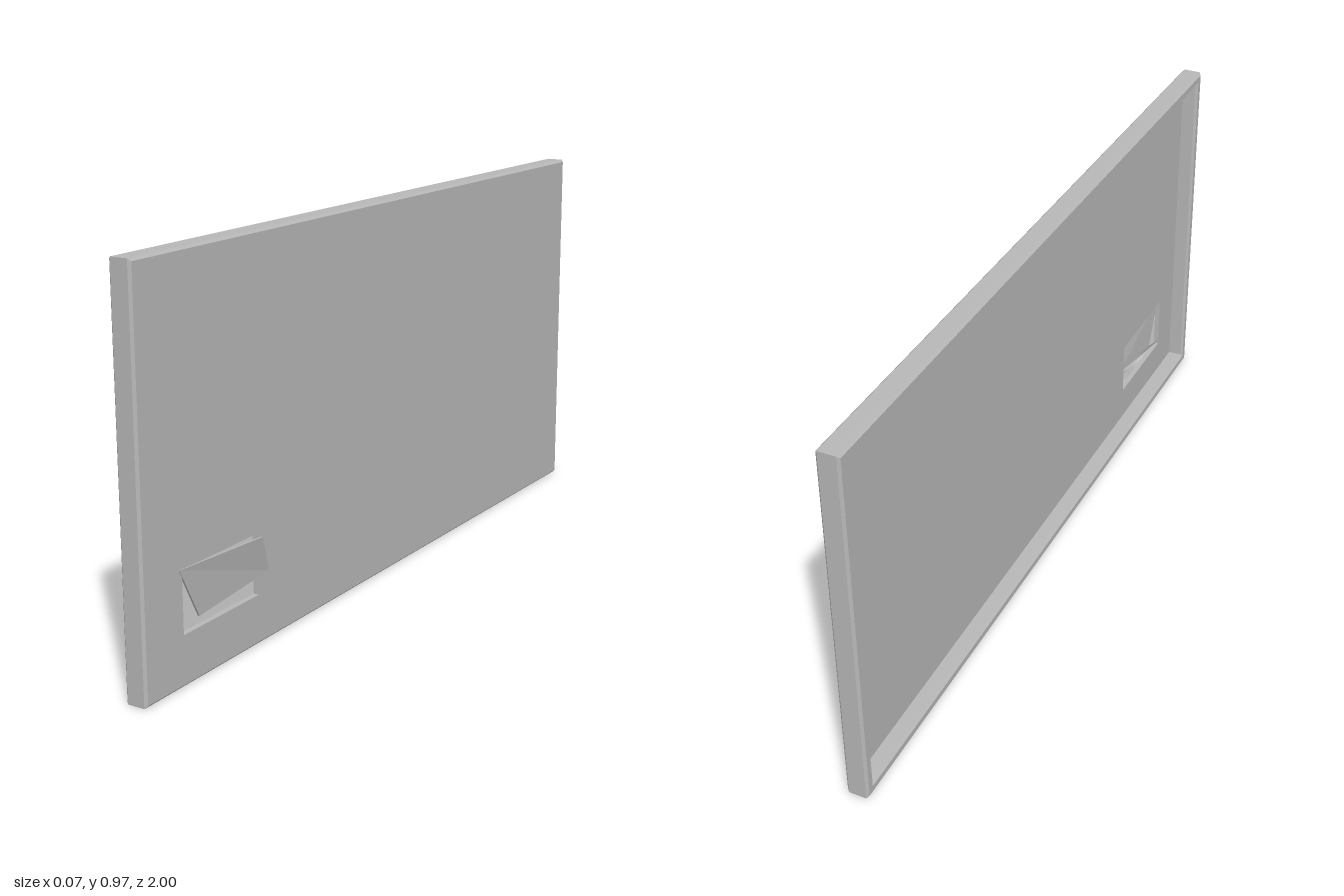
import * as THREE from 'three';

const grey = new THREE.MeshStandardMaterial({ color: 0xb8b8b8, flatShading: true, side: THREE.DoubleSide });
grey.name = 'plain grey';

const H = 0.97, FRONT = 0.022, BACK = -0.035, FLOOR = 0.008, RIM = 0.028;

function facesGeometry(points, quads) {
  const pos = [];
  for (const [a, b, c, d] of quads)
    for (const i of [a, b, c, a, c, d]) pos.push(...points[i]);
  const g = new THREE.BufferGeometry();
  g.setAttribute('position', new THREE.Float32BufferAttribute(pos, 3));
  g.computeVertexNormals();
  return g;
}

// Rim profile [inset, x] swept around the rectangle with mitred corners
function rimGeometry() {
  const profile = [
    [RIM, FRONT], [0.006, FRONT], [0, FRONT - 0.006], [0, BACK + 0.006],
    [0.006, BACK], [RIM - 0.006, BACK], [RIM, BACK + 0.006], [RIM, FLOOR],
  ];
  const points = [], quads = [];
  for (const [d, x] of profile)
    for (const [sz, top] of [[1, 0], [-1, 0], [-1, 1], [1, 1]])
      points.push([x, top ? H - d : d, sz * (1 - d)]);
  for (let p = 0; p < profile.length - 1; p++)
    for (let c = 0; c < 4; c++) {
      const n = (c + 1) % 4;
      quads.push([p * 4 + c, p * 4 + 4 + c, p * 4 + 4 + n, p * 4 + n]);
    }
  return facesGeometry(points, quads);
}

// Thin panel with the rectangular opening, drawn in (-z, y) and turned to face +x
function panelGeometry() {
  const rect = (path, l, b, r, t) => {
    path.moveTo(l, b); path.lineTo(r, b); path.lineTo(r, t); path.lineTo(l, t); path.closePath();
    return path;
  };
  const shape = rect(new THREE.Shape(), -1 + RIM, RIM, 1 - RIM, H - RIM);
  shape.holes.push(rect(new THREE.Path(), -0.866, 0.122, -0.587, 0.272));
  const g = new THREE.ExtrudeGeometry(shape, { depth: FRONT - FLOOR, bevelEnabled: false });
  g.rotateY(Math.PI / 2);
  g.translate(FLOOR, 0, 0);
  return g;
}

// Skewed flap hanging in the opening
function flapGeometry() {
  const outer = [
    [0.024, 0.275, 0.877], [0.035, 0.265, 0.585], [0.024, 0.17, 0.547], [0.020, 0.146, 0.807],
  ];
  const inner = outer.map(([x, y, z]) => [x - 0.005, y, z]);
  return facesGeometry([...outer, ...inner], [
    [0, 3, 2, 1], [4, 5, 6, 7], [0, 1, 5, 4], [1, 2, 6, 5], [2, 3, 7, 6], [3, 0, 4, 7],
  ]);
}

// Folded tongue reaching back through the opening
function tongueGeometry() {
  return facesGeometry(
    [[0.018, 0.172, 0.59], [0.016, 0.148, 0.8], [-0.037, 0.21, 0.77], [0.018, 0.18, 0.6]],
    [[0, 1, 2, 3]]);
}

export function createModel() {
  const model = new THREE.Group();
  model.name = 'framedPanel';
  const parts = {
    rim: rimGeometry(),
    panel: panelGeometry(),
    flap: flapGeometry(),
    flapTongue: tongueGeometry(),
  };
  for (const [name, geometry] of Object.entries(parts)) {
    const mesh = new THREE.Mesh(geometry, grey);
    mesh.name = name;
    model.add(mesh);
  }
  return model;
}
